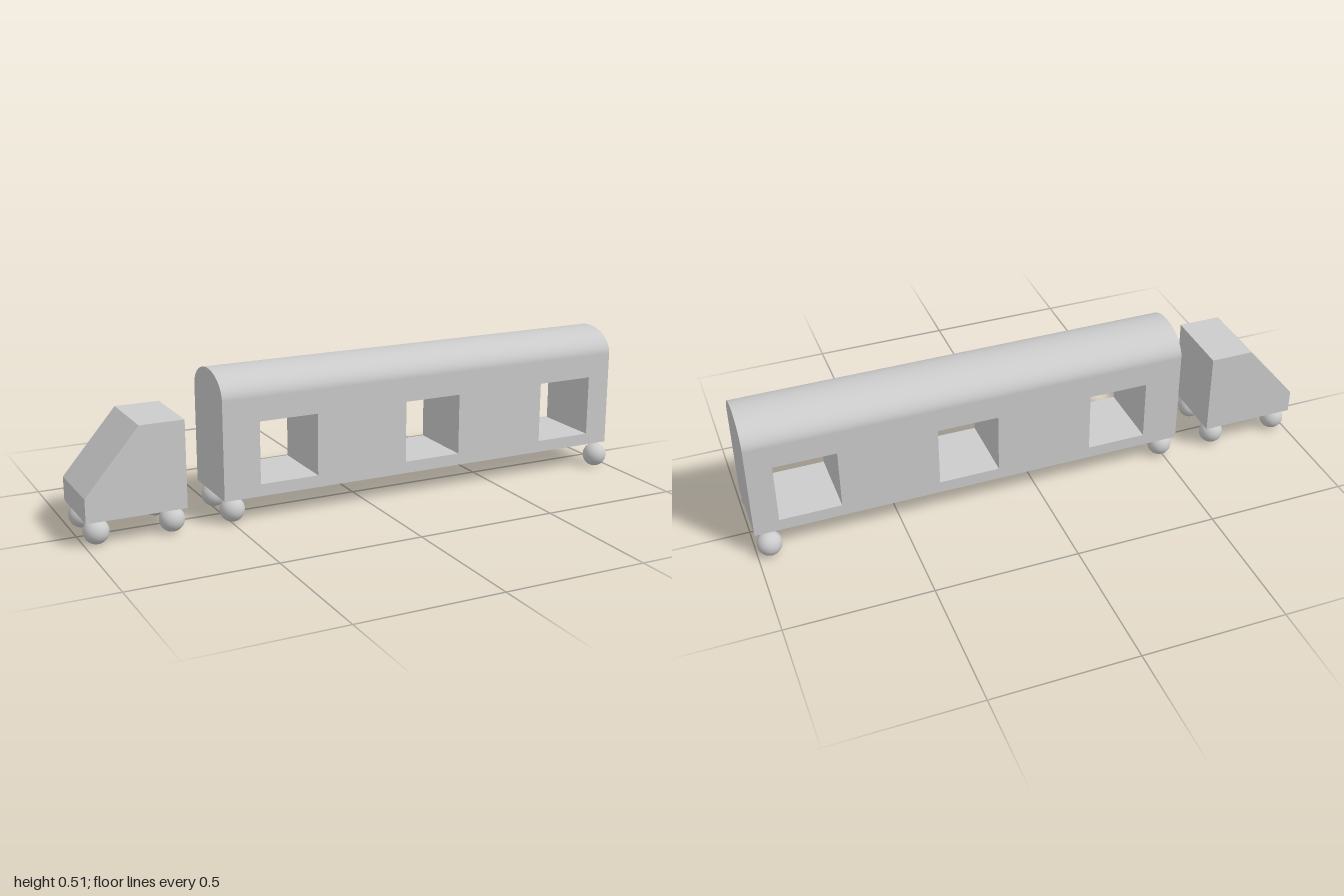
import * as THREE from 'three';

const HALF_WIDTH = 0.128;
const FLOOR = 0.086;
const WHEEL_RADIUS = 0.0425;

export function createModel() {
  const model = new THREE.Group();
  model.name = 'truckAndTrailer';
  const material = new THREE.MeshStandardMaterial({ color: 0xcccccc });

  const add = (name, geometry, parent) => {
    const mesh = new THREE.Mesh(geometry, material);
    mesh.name = name;
    parent.add(mesh);
    return mesh;
  };
  const points = (list) => list.map(([x, y]) => new THREE.Vector2(x, y));
  const rect = (x0, x1, y0, y1) => points([[x0, y0], [x1, y0], [x1, y1], [x0, y1]]);

  // Side profile extruded across the full width
  const extrudeAcross = (shape) =>
    new THREE.ExtrudeGeometry(shape, { depth: 2 * HALF_WIDTH, bevelEnabled: false })
      .translate(0, 0, -HALF_WIDTH);

  // Pairs of ball wheels
  const addWheels = (name, x, z, parent) => {
    for (const side of [-1, 1]) {
      const wheel = add(name + (side > 0 ? 'Front' : 'Back'),
        new THREE.SphereGeometry(WHEEL_RADIUS, 32, 24), parent);
      wheel.position.set(x, WHEEL_RADIUS, side * z);
    }
  };

  // Cab with sloping windscreen
  const cab = new THREE.Group();
  cab.name = 'cab';
  model.add(cab);
  add('cabBody', extrudeAcross(new THREE.Shape(points([
    [-1, FLOOR], [-0.662, FLOOR], [-0.662, 0.385], [-0.814, 0.385], [-1, 0.168],
  ]))), cab);
  addWheels('cabNoseWheel', -0.957, 0.086, cab);
  addWheels('cabRearWheel', -0.703, 0.086, cab);

  // Trailer with three window openings running right through
  const trailer = new THREE.Group();
  trailer.name = 'trailer';
  model.add(trailer);
  const x0 = -0.534, x1 = 1, eaves = 0.427, top = 0.512;
  const wall = new THREE.Shape(rect(x0, x1, FLOOR, eaves));
  for (const [left, right] of [[-0.404, -0.194], [0.144, 0.357], [0.7, 0.913]]) {
    wall.holes.push(new THREE.Path(rect(left, right, 0.128, 0.345)));
  }
  add('trailerBody', extrudeAcross(wall), trailer);

  // Half-elliptical roof
  const roof = new THREE.CylinderGeometry(1, 1, x1 - x0, 48, 1, false, 0, Math.PI)
    .rotateZ(Math.PI / 2)
    .scale(1, top - eaves, HALF_WIDTH)
    .translate((x0 + x1) / 2, eaves, 0);
  add('trailerRoof', roof, trailer);

  addWheels('trailerLeadWheel', -0.492, 0.086, trailer);
  addWheels('trailerRearWheel', 0.955, 0.128, trailer);

  return model;
}
